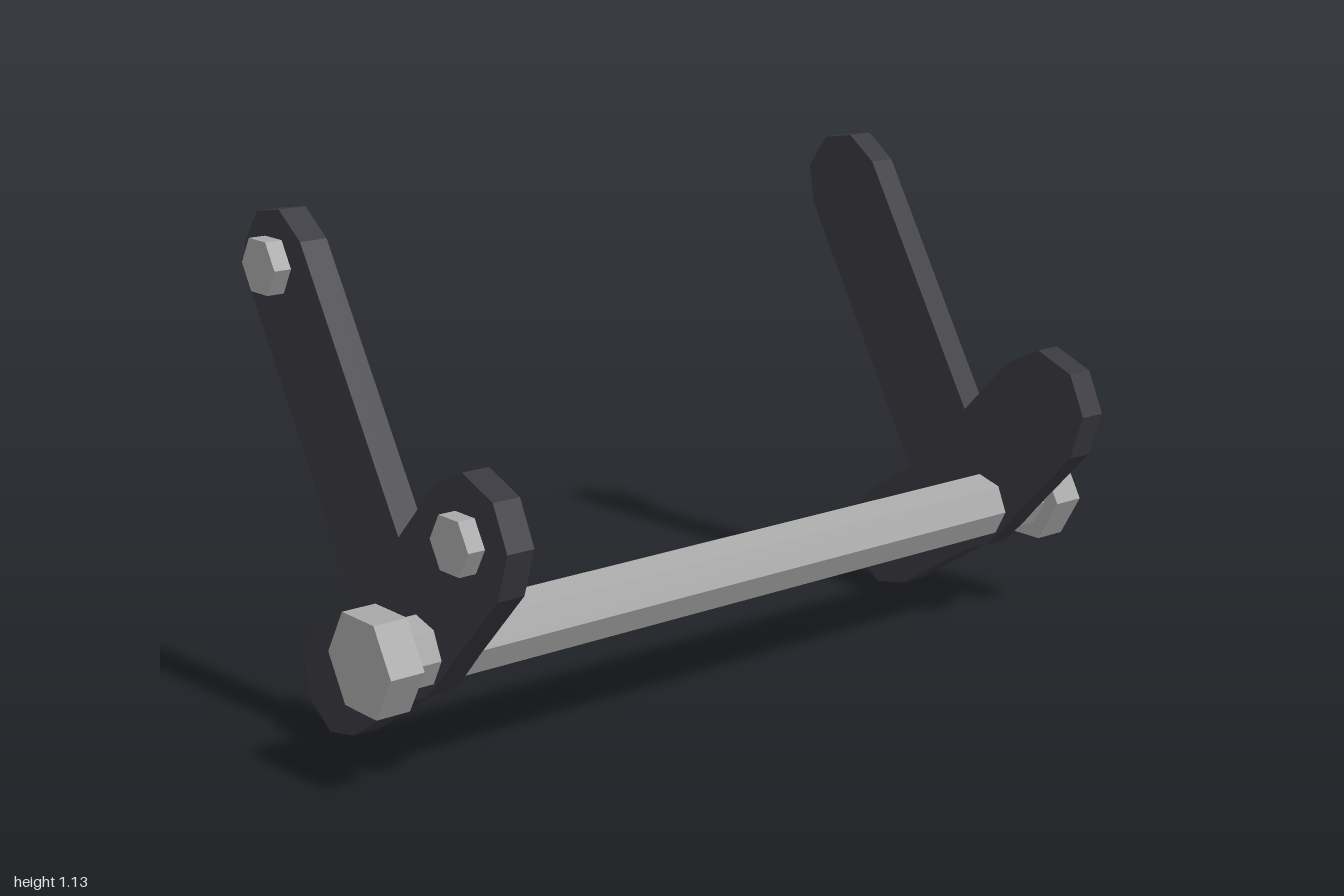
import * as THREE from 'three';

const darkMetal = new THREE.MeshStandardMaterial({ name: 'dark metal', color: 0x39383f, flatShading: true });
const steel = new THREE.MeshStandardMaterial({ name: 'steel', color: 0xa8a8a8, flatShading: true });

// Extrude a [z, y] outline along x from x0 to x1
function prism(name, outline, x0, x1, material) {
  const shape = new THREE.Shape(outline.map(([z, y]) => new THREE.Vector2(z, y)));
  const geometry = new THREE.ExtrudeGeometry(shape, { depth: x1 - x0, bevelEnabled: false });
  geometry.rotateY(-Math.PI / 2).translate(x1, 0, 0);
  const mesh = new THREE.Mesh(geometry, material);
  mesh.name = name;
  return mesh;
}

// Regular polygon in the z-y plane
function polygon(z, y, radius, sides, turn = 0) {
  return Array.from({ length: sides }, (_, i) => {
    const a = turn + (i / sides) * Math.PI * 2;
    return [z + radius * Math.cos(a), y + radius * Math.sin(a)];
  });
}

// Three-armed side plate
const plateOutline = [
  // long arm
  [0.093, 0.512], [-0.245, 1.073], [-0.325, 1.13], [-0.415, 1.115], [-0.472, 1.037], [-0.457, 0.945],
  // lower rear arm
  [-0.09, 0.33], [-0.242, 0.231], [-0.293, 0.151], [-0.278, 0.058], [-0.197, 0.002], [-0.104, 0.022],
  // corner behind the axle bolt
  [0.104, 0.157], [0.18, 0.192], [0.235, 0.245], [0.28, 0.296],
  // short front arm
  [0.436, 0.461], [0.472, 0.566], [0.427, 0.661], [0.325, 0.7], [0.227, 0.652],
];

export function createModel() {
  const model = new THREE.Group();
  model.name = 'pairedBracket';

  // Crossbar joining the two sides
  model.add(prism('crossbar', polygon(0.163, 0.288, 0.075, 7, -0.04), -0.92, 0.92, steel));

  for (const [side, s] of [['left', 1], ['right', -1]]) {
    const group = new THREE.Group();
    group.name = side + 'Side';
    const add = (name, outline, a, b, material) =>
      group.add(prism(name, outline, Math.min(a * s, b * s), Math.max(a * s, b * s), material));
    add('sidePlate', plateOutline, 0.785, 0.85, darkMetal);
    add('axleBolt', polygon(0.166, 0.29, 0.115, 6), 0.92, 1, steel);
    add('frontBolt', polygon(0.332, 0.559, 0.066, 6), 0.85, 0.89, steel);
    add('topBolt', polygon(-0.351, 1.009, 0.066, 6), 0.85, 0.89, steel);
    model.add(group);
  }
  return model;
}
